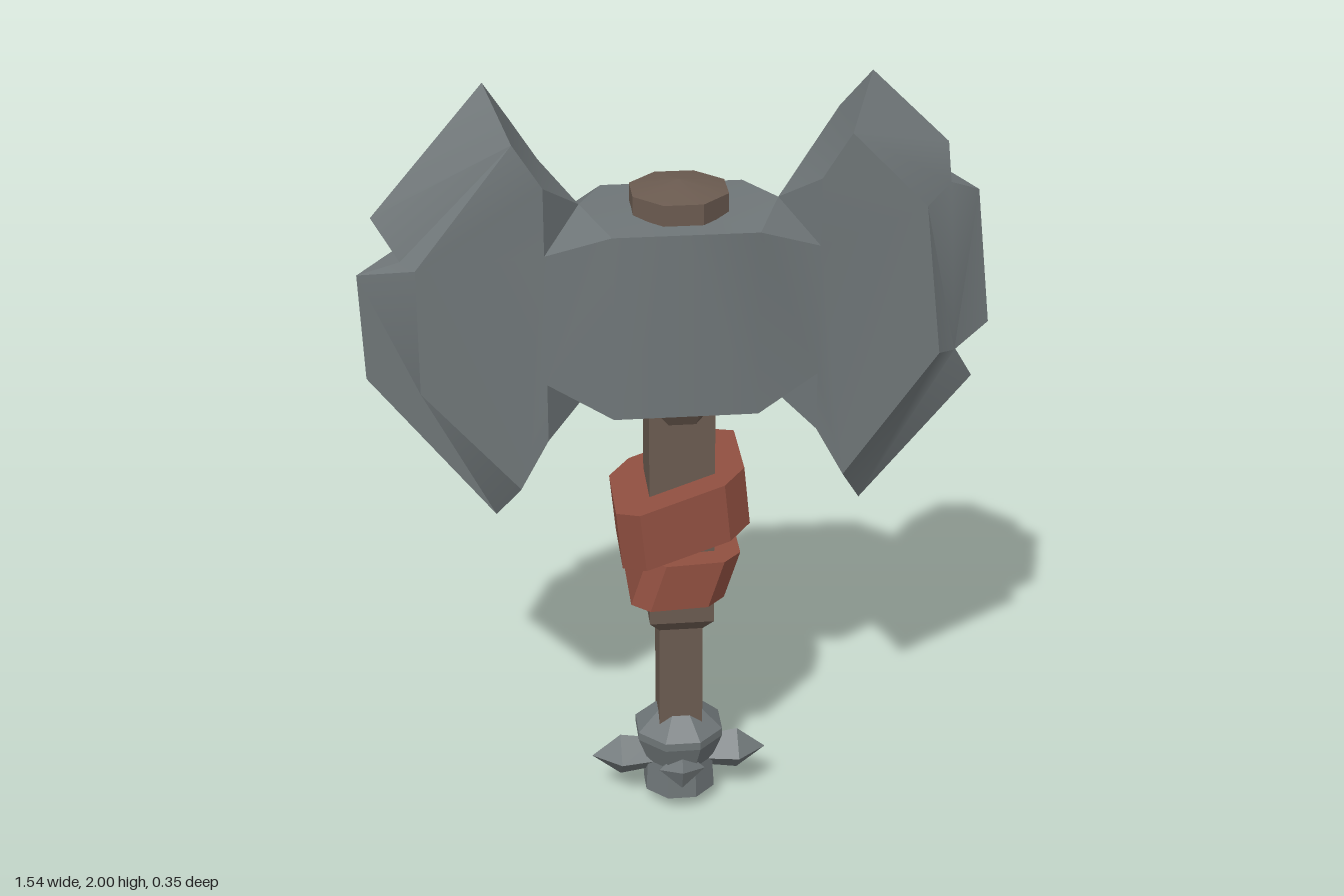
import * as THREE from 'three';
import { toCreasedNormals } from 'three/addons/utils/BufferGeometryUtils.js';

const steel = new THREE.MeshStandardMaterial({ color: 0x6f7678, name: 'steel' });
const wood = new THREE.MeshStandardMaterial({ color: 0x6b5b50, name: 'wood' });
const leather = new THREE.MeshStandardMaterial({ color: 0x8f4f40, name: 'leather' });

// Faceted turned part: flats face the axes, radii are measured to the flats
function turned(profile, sides) {
  const k = 1 / Math.cos(Math.PI / sides);
  const pts = profile.map(([r, y]) => new THREE.Vector2(r * k, y));
  return toCreasedNormals(new THREE.LatheGeometry(pts, sides, Math.PI / sides), 0.3);
}

// Collects faces; each is turned to agree with an outward hint
function faceBuilder() {
  const pos = [];
  const v = (p) => new THREE.Vector3(...p);
  return {
    pos,
    face(pts, hint, sx = 1) {
      const q = pts.map(([x, y, z]) => v([x * sx, y, z]));
      const h = v([hint[0] * sx, hint[1], hint[2]]);
      for (let i = 1; i < q.length - 1; i++) {
        const t = [q[0], q[i], q[i + 1]];
        const n = t[1].clone().sub(t[0]).cross(t[2].clone().sub(t[0]));
        if (n.lengthSq() < 1e-12) continue;
        if (n.dot(h) < 0) t.reverse();
        t.forEach((p) => pos.push(p.x, p.y, p.z));
      }
    },
  };
}

// One half of the axe head: half of the socket block and one blade.
// outer is the cutting edge from top to bottom, flat the edge of the flat cheek.
function headHalf(outer, flat, sx) {
  const b = faceBuilder();
  const both = (pts, hint) => [1, -1].forEach((s) =>
    b.face(pts.map(([x, y, z]) => [x, y, z * s]), [hint[0], hint[1], hint[2] * s], sx));
  const filled = (pts) => {
    const tris = THREE.ShapeUtils.triangulateShape(pts.map((p) => new THREE.Vector2(p[0], p[1])), []);
    tris.forEach((t) => both(t.map((i) => pts[i]), [0, 0, 1]));
  };
  const cheek = flat.map(([x, y]) => [x, y, 0.1]);
  // Flat cheek, sharpened bevel and notch walls
  filled([...cheek, [0.33, 1.115, 0.1], [0.33, 1.265, 0.1], [0.33, 1.6, 0.1], [0.33, 1.77, 0.1]]);
  filled([...outer, ...cheek.slice().reverse()]);
  for (let i = 0; i < outer.length - 1; i++) {
    const [p, q] = [outer[i], outer[i + 1]];
    b.face([p, q, [q[0], q[1], -q[2]], [p[0], p[1], -p[2]]], [p[1] - q[1], q[0] - p[0], 0], sx);
  }
  // Socket block front and slope towards the blade
  both([[0, 1.67, 0.175], [0, 1.2, 0.175], [0.175, 1.2, 0.175], [0.175, 1.67, 0.175]], [0, 0, 1]);
  both([[0.175, 1.67, 0.175], [0.175, 1.2, 0.175], [0.33, 1.265, 0.1], [0.33, 1.6, 0.1]], [0, 0, 1]);
  // Upper and lower ends
  const ends = [
    { up: 1, tip: outer[0], corner: cheek[0], neck: 1.77, mid: 1.69, side: 1.6, block: 1.67 },
    { up: -1, tip: outer[outer.length - 1], corner: cheek[cheek.length - 1], neck: 1.115, mid: 1.175, side: 1.265, block: 1.2 },
  ];
  ends.forEach(({ up, tip, corner, neck, mid, side, block }) => {
    const m = [0.24, mid, 0], n = [0.33, neck, 0.1], c = [0.175, block, 0.175], s = [0.33, side, 0.1];
    const back = (p) => [p[0], p[1], -p[2]];
    b.face([tip, corner, back(corner)], [-1, up, 0], sx);
    b.face([corner, n, back(n), back(corner)], [-1, up, 0], sx);
    b.face([n, m, back(n)], [-1, up, 0], sx);
    both([n, m, s], [0, 0, 1]);
    both([m, c, s], [0, up, 0]);
    both([[0, block, 0], [0, block, 0.175], c, m], [0, up, 0]);
  });
  return b.pos;
}

function headGeometry() {
  const right = headHalf(
    [[0.46, 2, 0], [0.65, 1.815, 0], [0.65, 1.73, 0.05], [0.73, 1.69, 0], [0.77, 1.34, 0],
      [0.68, 1.285, 0.04], [0.735, 1.195, 0], [0.46, 0.867, 0]],
    [[0.4, 1.88], [0.585, 1.69], [0.63, 1.305], [0.4, 0.985]], 1);
  const left = headHalf(
    [[0.46, 2, 0], [0.735, 1.675, 0], [0.67, 1.58, 0.05], [0.775, 1.53, 0], [0.765, 1.257, 0],
      [0.46, 0.867, 0]],
    [[0.4, 1.88], [0.635, 1.575], [0.635, 1.255], [0.4, 0.985]], -1);
  const g = new THREE.BufferGeometry();
  g.setAttribute('position', new THREE.Float32BufferAttribute([...right, ...left], 3));
  return toCreasedNormals(g, 0.5);
}

// Sheared strap: a square ring with cut corners, leaning by kx and sloping by ky
function strapGeometry(hx, hz, h, cut, kx, ky) {
  const s = new THREE.Shape([
    [hx, hz - cut], [hx - cut, hz], [cut - hx, hz], [-hx, hz - cut],
    [-hx, cut - hz], [cut - hx, -hz], [hx - cut, -hz], [hx, cut - hz],
  ].map(([x, y]) => new THREE.Vector2(x, y)));
  const g = new THREE.ExtrudeGeometry(s, { depth: h, bevelEnabled: false });
  g.translate(0, 0, -h / 2).rotateX(-Math.PI / 2);
  const p = g.attributes.position;
  for (let i = 0; i < p.count; i++) {
    const x = p.getX(i), y = p.getY(i);
    p.setXY(i, x + kx * y, y + ky * x);
  }
  return toCreasedNormals(g, 0.3);
}

export function createModel() {
  const group = new THREE.Group();
  const add = (name, geometry, material, x = 0, y = 0, z = 0) => {
    const mesh = new THREE.Mesh(geometry, material);
    mesh.name = name;
    mesh.position.set(x, y, z);
    group.add(mesh);
    return mesh;
  };

  add('axeHead', headGeometry(), steel);

  // Wooden handle
  add('lowerHandle', turned([[0.056, 0.25], [0.056, 0.56]], 4), wood);
  add('upperHandle', turned([[0, 0.535], [0.055, 0.535], [0.082, 0.57], [0.082, 1.21]], 4), wood);
  add('headCollar', turned([[0.08, 1.13], [0.122, 1.2]], 8), wood);
  add('handleTop', turned([[0.115, 1.6], [0.115, 1.722], [0, 1.745]], 8), wood);

  // Leather wraps
  add('upperStrap', strapGeometry(0.16, 0.16, 0.156, 0.055, -0.1, 0.35), leather, 0, 0.885);
  add('lowerStrap', strapGeometry(0.118, 0.145, 0.127, 0.045, 0.32, 0.04), leather, 0.007, 0.71);

  // Spiked pommel
  add('pommel', turned([[0, 0], [0.09, 0.04], [0.085, 0.13], [0.11, 0.2], [0.11, 0.222], [0.055, 0.275], [0, 0.275]], 8), steel);
  const spike = (base, mid, tip) => toCreasedNormals(new THREE.LatheGeometry(
    [[0.045, base], [0.06, mid], [0, tip]].map(([r, y]) => new THREE.Vector2(r, y)), 4), 0.3);
  [1, -1].forEach((s) => {
    add('sideSpike', spike(0.06, 0.155, 0.23), steel, 0, 0.13).rotation.z = -s * Math.PI / 2;
    add('faceStud', spike(0.06, 0.088, 0.112), steel, 0, 0.13).rotation.x = s * Math.PI / 2;
  });

  return group;
}
